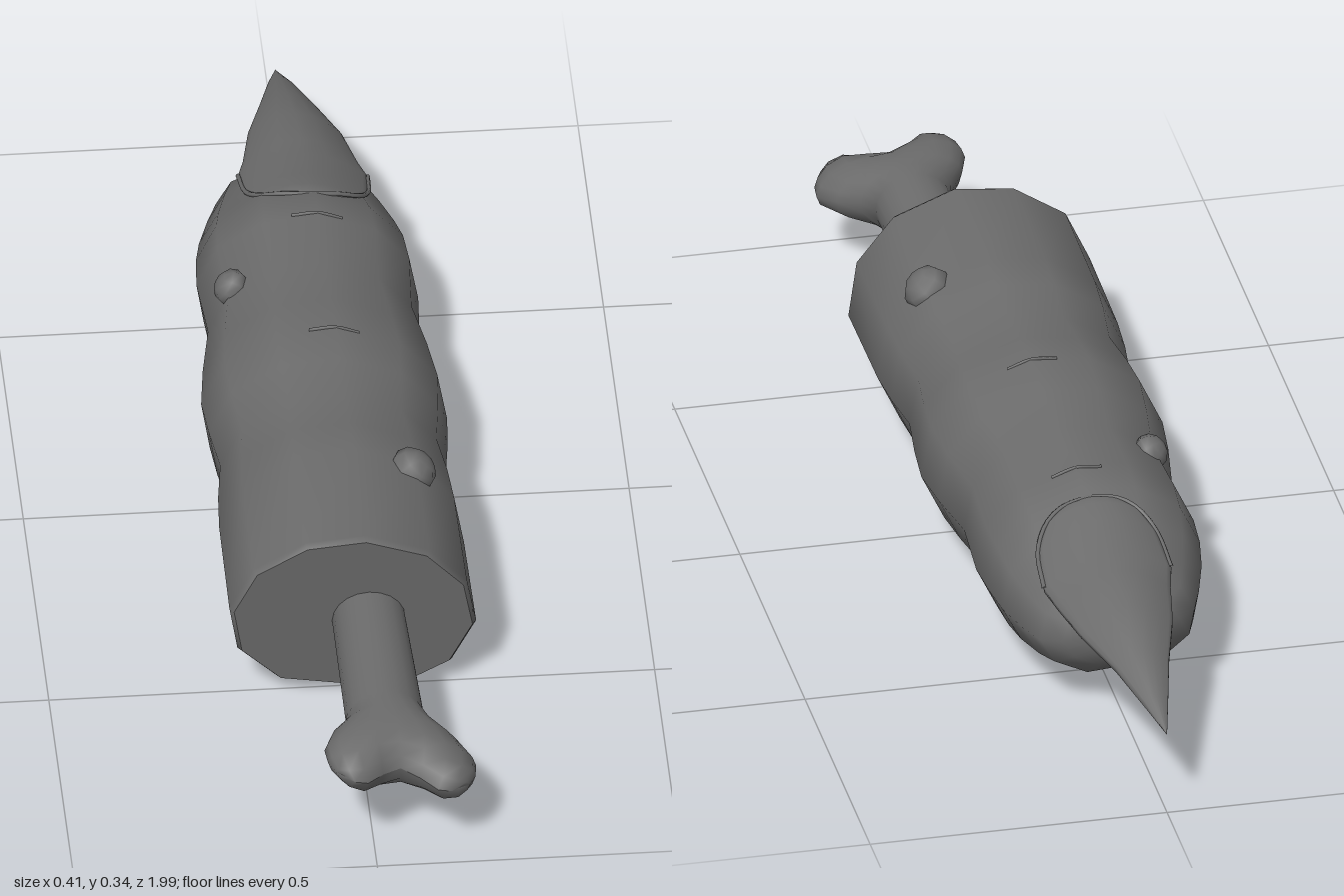
import * as THREE from 'three';

const skin = new THREE.MeshStandardMaterial({ color: 0x6c6c6c });
const nailMat = new THREE.MeshStandardMaterial({ color: 0x6c6c6c, side: THREE.DoubleSide });

function mesh(name, geometry, material = skin) {
  const m = new THREE.Mesh(geometry, material);
  m.name = name;
  return m;
}

function build(points, index) {
  const g = new THREE.BufferGeometry();
  g.setAttribute('position', new THREE.Float32BufferAttribute(points.flat(), 3));
  g.setIndex(index);
  g.computeVertexNormals();
  return g;
}

// Skin over closed rings of [x, y, z], ordered from +z to -z, counterclockwise seen from +z
function loft(rings) {
  const n = rings[0].length, index = [];
  for (let i = 0; i < rings.length - 1; i++) {
    for (let j = 0; j < n; j++) {
      const a = i * n + j, b = i * n + (j + 1) % n, c = a + n, d = b + n;
      index.push(a, c, b, b, c, d);
    }
  }
  return build(rings.flat(), index);
}

// Flat disc closing a ring on its +z side
function capFront(ring) {
  const n = ring.length, index = [];
  const mid = [0, 1, 2].map(k => ring.reduce((s, p) => s + p[k], 0) / n);
  for (let j = 0; j < n; j++) index.push(n, j, (j + 1) % n);
  return build([...ring, mid], index);
}

// Irregular twelve-sided finger section, about (0, 0), fitting -1..1
const section = [
  [1, -0.21], [0.92, 0.34], [0.61, 0.77], [0.1, 1], [-0.39, 0.94], [-0.81, 0.62],
  [-1, 0.12], [-0.93, -0.42], [-0.6, -0.83], [-0.1, -0.94], [0.39, -1], [0.81, -0.7],
];

function finger() {
  const g = new THREE.Group();
  g.name = 'finger';
  // z, half width, bottom, top, lean of the cut
  const stations = [
    [0.532, 0.197, 0.009, 0.332, 0.12], [0.52, 0.204, 0.003, 0.338, 0.12],
    [0.3, 0.202, 0.003, 0.338, 0], [0.22, 0.197, 0.01, 0.332, 0], [0.13, 0.186, 0.023, 0.32, 0],
    [0.04, 0.197, 0.012, 0.33, 0], [-0.04, 0.203, 0.004, 0.335, 0], [-0.13, 0.193, 0.014, 0.326, 0],
    [-0.24, 0.175, 0.027, 0.315, 0], [-0.37, 0.183, 0.021, 0.318, 0], [-0.44, 0.178, 0.026, 0.31, 0],
    [-0.5, 0.168, 0.036, 0.283, 0], [-0.57, 0.148, 0.05, 0.26, 0], [-0.62, 0.13, 0.066, 0.242, 0],
    [-0.65, 0.097, 0.095, 0.222, 0], [-0.664, 0.055, 0.125, 0.196, 0], [-0.667, 0, 0.16, 0.16, 0],
  ];
  const rings = stations.map(([z, w, bottom, top, lean]) => section.map(([u, v]) => {
    const y = (bottom + top) / 2 + v * (top - bottom) / 2;
    return [u * w, y, z + (y - 0.17) * lean];
  }));
  g.add(mesh('fingerSkin', loft(rings)), mesh('cutFace', capFront(rings[0])));
  return g;
}

// Arched claw: crescent sections shrinking to a point
const nailStations = [ // z, half width, crown height, edge height
  [-0.455, 0.012, 0.302, 0.3], [-0.463, 0.05, 0.304, 0.294], [-0.48, 0.078, 0.303, 0.278],
  [-0.52, 0.1, 0.294, 0.253], [-0.6, 0.107, 0.275, 0.228], [-0.65, 0.095, 0.268, 0.219],
  [-0.74, 0.077, 0.253, 0.212], [-0.84, 0.045, 0.221, 0.197], [-0.93, 0.02, 0.184, 0.175],
  [-1, 0, 0.15, 0.149],
];
const nailX = z => 0.012 * (1 + Math.min(0, (z + 0.7) / 0.3));
// Point across the nail, u from -1 to 1, with the right edge slightly higher
const nailPoint = ([z, w, top, edge], u) => [nailX(z) + w * u, top + (edge - top) * u * u - 0.07 * w * u, z];

function nail() {
  const N = 8;
  const rings = nailStations.map(s => {
    const arc = Array.from({ length: N + 1 }, (_, i) => nailPoint(s, Math.cos(i / N * Math.PI)));
    const thickness = s[1] > 0 ? 0.007 : 0;
    return [...arc, ...arc.map(([x, y, z]) => [x, y - thickness, z]).reverse()];
  });
  return mesh('nail', loft(rings), nailMat);
}

// Thin lip of skin around the nail root
function nailFold() {
  const side = nailStations.slice(0, 5);
  const edge = u => s => new THREE.Vector3(...nailPoint(s, u));
  const path = new THREE.CatmullRomCurve3([...side.map(edge(-1)).reverse(), ...side.map(edge(1))]);
  return mesh('nailFold', new THREE.TubeGeometry(path, 28, 0.004, 6));
}

// Bone in one skin: a round shaft widening into a two-lobed end
function bone() {
  // z, left and right bounds, half height, lobe length, slant
  const stations = [
    [0.944, -0.055, 0.142, 0, 0.054, 0.18], [0.94, -0.066, 0.156, 0.028, 0.05, 0.18],
    [0.925, -0.077, 0.167, 0.048, 0.034, 0.18], [0.905, -0.08, 0.17, 0.056, 0.016, 0.18],
    [0.875, -0.066, 0.145, 0.057, 0, 0.14], [0.845, -0.045, 0.112, 0.059, 0, 0.07],
    [0.81, -0.036, 0.094, 0.06, 0, 0], [0.5, -0.035, 0.085, 0.06, 0, 0],
  ];
  const N = 20;
  const rings = stations.map(([z, x0, x1, h, lobe, slant]) => Array.from({ length: N }, (_, i) => {
    const a = i / N * Math.PI * 2, u = Math.cos(a);
    const bump = Math.sin(u * Math.PI / 1.4) ** 2;
    const x = (x0 + x1) / 2 + u * (x1 - x0) / 2;
    const waist = 1 - 4 * lobe * (1 - bump);
    return [x, 0.16 - slant * (x - 0.04) + Math.sin(a) * h * waist, z + lobe * bump];
  }));
  return mesh('bone', loft(rings));
}

function wart(x, y, z, r) {
  const m = mesh('wart', new THREE.SphereGeometry(r, 8, 6));
  m.position.set(x, y, z);
  m.rotation.z = -Math.atan2(x, y - 0.17);
  m.scale.y = 0.85;
  return m;
}

// Fine skin fold lying across a knuckle
function crease(y, z) {
  const path = new THREE.CatmullRomCurve3([[-0.025, -0.004], [0.018, -0.001], [0.058, -0.015]]
    .map(([x, dy]) => new THREE.Vector3(x, y + dy, z)));
  return mesh('knuckleCrease', new THREE.TubeGeometry(path, 8, 0.003, 6));
}

export function createModel() {
  const model = new THREE.Group();
  model.name = 'severedFinger';
  model.add(finger(), nail(), nailFold(), bone());
  model.add(wart(0.117, 0.29, 0.305, 0.042), wart(-0.135, 0.262, -0.26, 0.032));
  model.add(crease(0.335, -0.04), crease(0.317, -0.38));
  return model;
}
